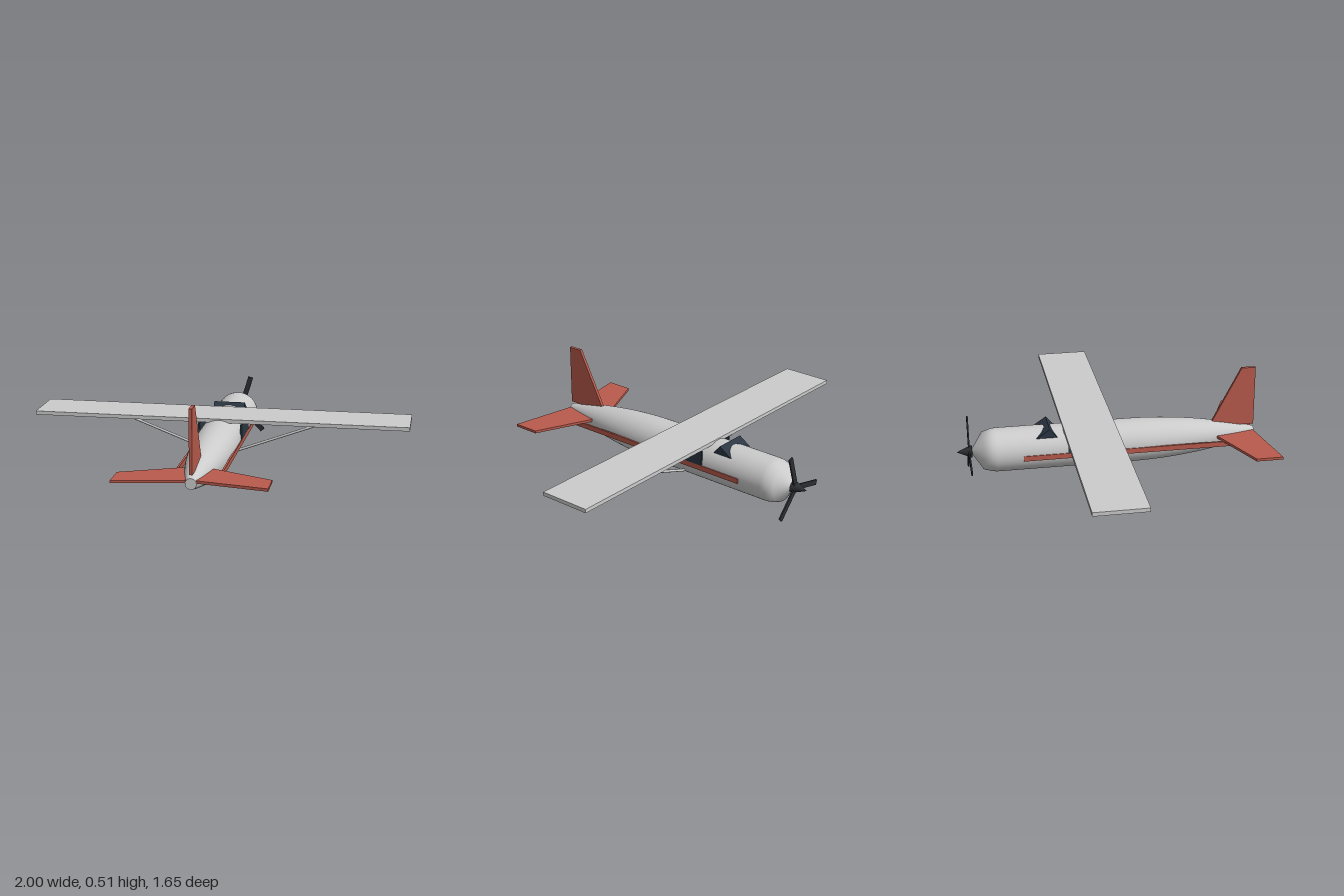
import * as THREE from 'three';

const AXIS_Y = 0.145; // height of the fuselage centre line

const mat = (color) => new THREE.MeshStandardMaterial({ color });
const grey = mat(0xcccccc);
const red = mat(0xb85a4c);
const glass = mat(0x2a3642);
const black = mat(0x2b2d31);

// Flat plate extruded from an outline, centred on its thickness
function plate(points, depth) {
  const shape = new THREE.Shape(points.map(([x, y]) => new THREE.Vector2(x, y)));
  return new THREE.ExtrudeGeometry(shape, { depth, bevelEnabled: false }).translate(0, 0, -depth / 2);
}

export function createModel() {
  const model = new THREE.Group();
  model.name = 'aeroplane';

  const add = (name, geometry, material, x = 0, y = 0, z = 0, parent = model) => {
    const mesh = new THREE.Mesh(geometry, material);
    mesh.name = name;
    mesh.position.set(x, y, z);
    parent.add(mesh);
    return mesh;
  };

  // Fuselage: blunt nose, straight cabin, tail tapering along a parabola
  const profile = [[0.005, -0.755], [0.098, -0.695], [0.112, -0.65], [0.115, -0.625]];
  for (let i = 0; i <= 12; i++) {
    const t = i / 12;
    profile.push([0.115 - 0.087 * t * t, 0.08 + 0.68 * t]);
  }
  const body = new THREE.LatheGeometry(profile.map(([r, z]) => new THREE.Vector2(r, z)), 48);
  add('fuselage', body.rotateX(Math.PI / 2), grey, 0, AXIS_Y);
  add('tailCap', new THREE.CircleGeometry(0.028, 48), grey, 0, AXIS_Y, 0.76);

  // Wing
  add('wing', new THREE.BoxGeometry(2, 0.02, 0.275), grey, 0, 0.257, -0.1375);

  // Windscreen: triangular wedge across the cabin roof
  add('windscreen', plate([[-0.42, 0.228], [-0.31, 0.228], [-0.35, 0.275]], 0.17).rotateY(-Math.PI / 2), glass);

  // Fin and tailplane
  add('fin', plate([[0.517, 0.19], [0.76, 0.19], [0.76, 0.515], [0.685, 0.515]], 0.016).rotateY(-Math.PI / 2), red);
  const tailplane = plate(
    [[0, 0.515], [0.38, 0.68], [0.38, 0.82], [0, 0.75], [-0.38, 0.82], [-0.38, 0.68]], 0.014);
  add('tailplane', tailplane.rotateX(Math.PI / 2), red, 0, 0.155);

  // Mirrored side parts
  for (const [side, s] of [['left', 1], ['right', -1]]) {
    add(side + 'Window', new THREE.BoxGeometry(0.01, 0.082, 0.215), glass, s * 0.114, 0.189, -0.15);
    add(side + 'Stripe', new THREE.BoxGeometry(0.01, 0.028, 1.135), red, s * 0.114, 0.134, 0.0775);

    const from = new THREE.Vector3(s * 0.09, 0.07, -0.12);
    const to = new THREE.Vector3(s * 0.59, 0.25, -0.15);
    const strut = add(side + 'Strut', new THREE.CylinderGeometry(0.007, 0.007, from.distanceTo(to), 10), grey);
    strut.position.copy(from).lerp(to, 0.5);
    strut.quaternion.setFromUnitVectors(new THREE.Vector3(0, 1, 0), to.sub(from).normalize());
  }

  // Propeller with spinner and three blades
  const propeller = new THREE.Group();
  propeller.name = 'propeller';
  propeller.position.set(0, AXIS_Y, -0.765);
  model.add(propeller);
  add('spinner', new THREE.ConeGeometry(0.034, 0.08, 24).rotateX(-Math.PI / 2), black, 0, 0, -0.025, propeller);
  for (let i = 0; i < 3; i++) {
    const blade = new THREE.BoxGeometry(0.185, 0.028, 0.008).translate(0.0925, 0, 0);
    add('blade', blade, black, 0, 0, 0, propeller).rotation.z = THREE.MathUtils.degToRad(73 + 120 * i);
  }

  return model;
}
